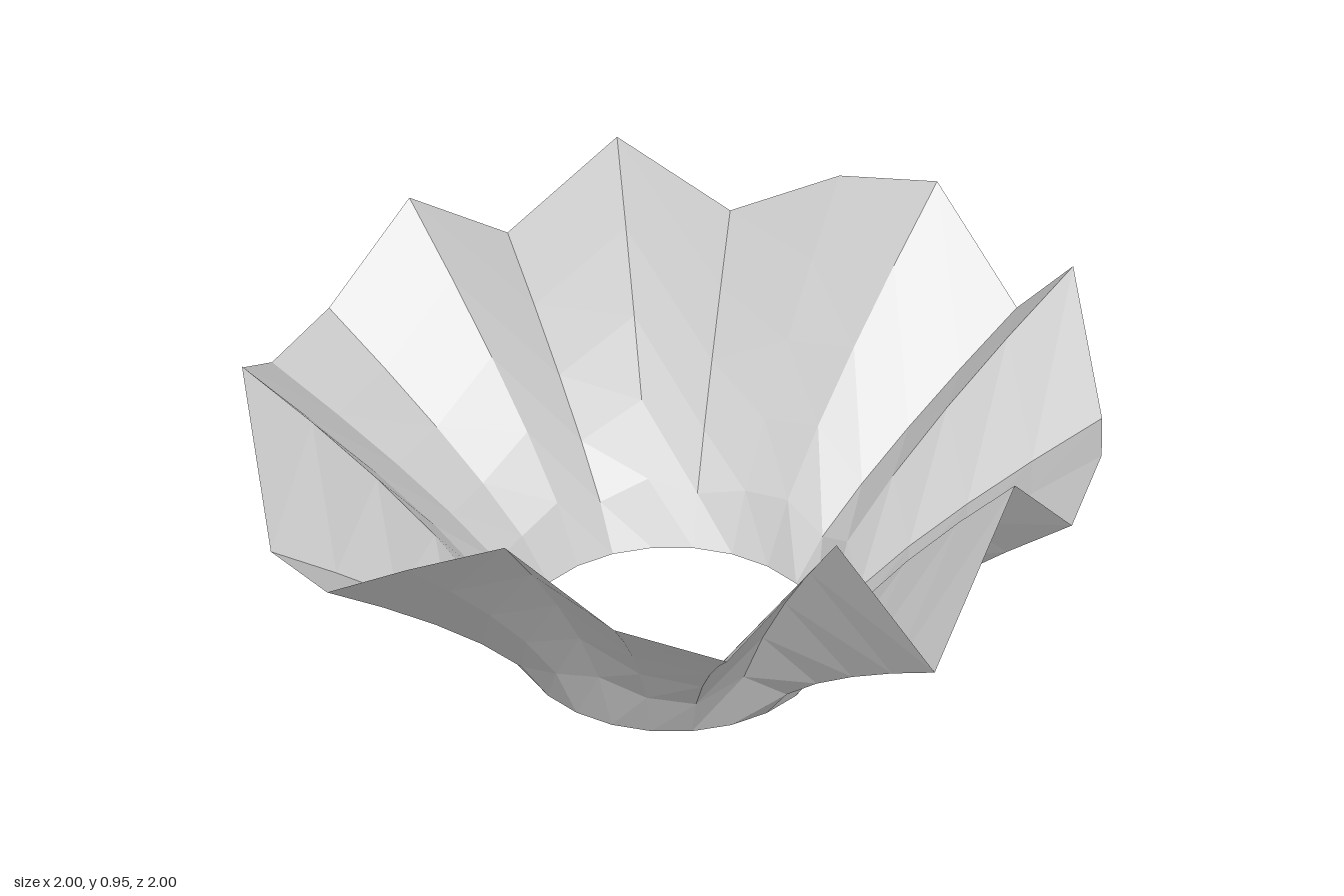
import * as THREE from 'three';

// Rim heights every 15 degrees, starting at +x and turning towards +z
const RIM = [
  0.625, 0.61, 0.89, 0.49, 0.95, 0.665, 0.755, 0.94, 0.78, 0.58, 0.53, 0.875,
  0.68, 0.51, 0.50, 0.68, 0.485, 0.71, 0.50, 0.65, 0.73, 0.505, 0.79, 0.54,
];
const BASE_RADIUS = 0.36;
const ROWS = 5;

export function createModel() {
  const group = new THREE.Group();
  group.name = 'jaggedBowl';

  // Open tube reshaped into a flaring wall with a jagged rim
  const sides = RIM.length;
  const geometry = new THREE.CylinderGeometry(1, 1, 1, sides, ROWS, true);
  const pos = geometry.attributes.position;
  for (let i = 0; i < pos.count; i++) {
    const t = pos.getY(i) + 0.5;
    const angle = Math.atan2(pos.getZ(i), pos.getX(i));
    const k = (Math.round((angle / (2 * Math.PI)) * sides) + sides) % sides;
    const r = BASE_RADIUS + (1 - BASE_RADIUS) * Math.pow(t, 1.32);
    pos.setXYZ(i, r * Math.cos(angle), RIM[k] * t, r * Math.sin(angle));
  }
  const flat = geometry.toNonIndexed();
  flat.computeVertexNormals();

  const wall = new THREE.Mesh(flat, new THREE.MeshStandardMaterial({
    color: 0xcccccc, flatShading: true, side: THREE.DoubleSide,
  }));
  wall.name = 'flaredWall';
  group.add(wall);
  return group;
}
